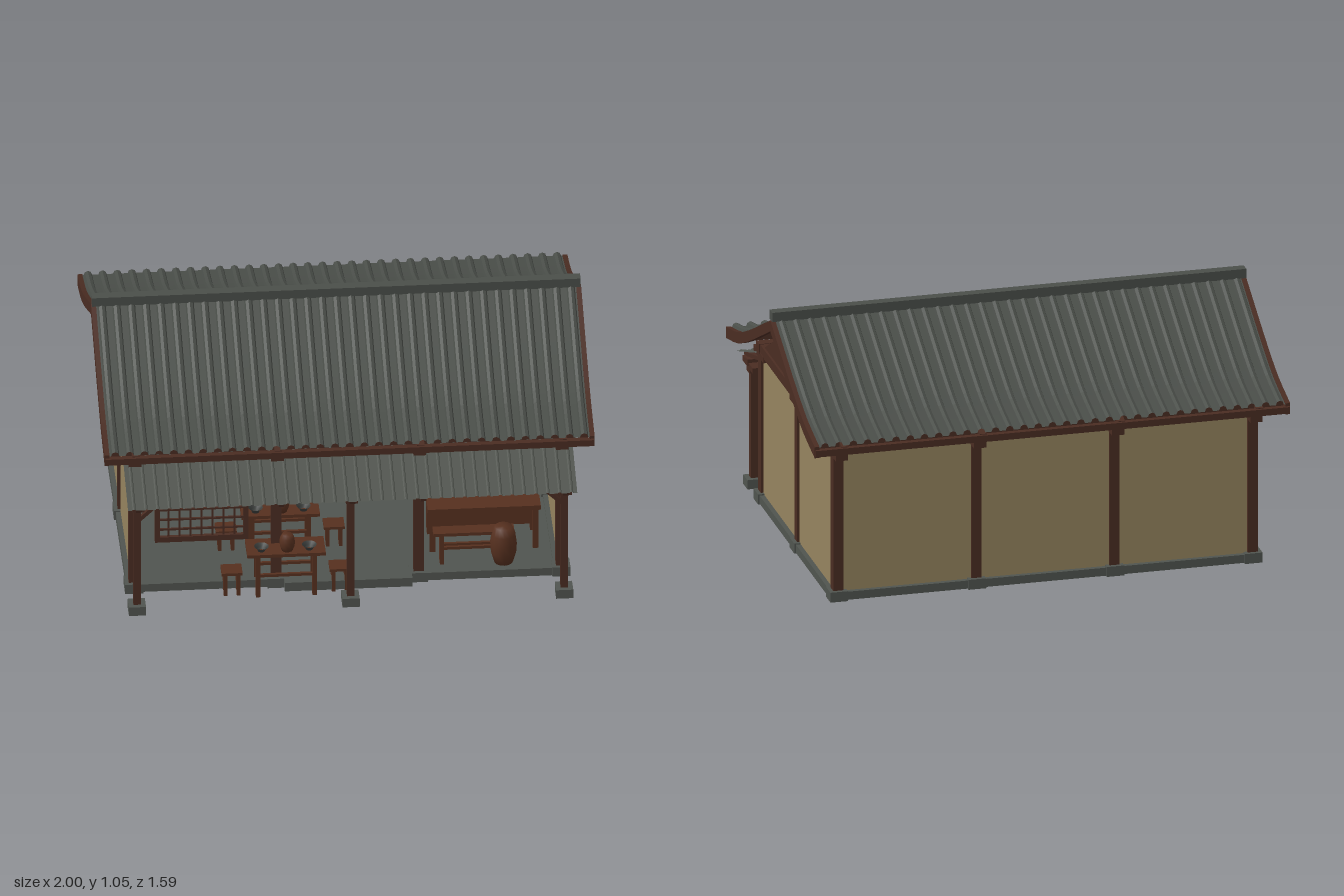
import * as THREE from 'three';

const mat = (name, color, side = THREE.FrontSide) => {
  const m = new THREE.MeshStandardMaterial({ color, side });
  m.name = name;
  return m;
};

export function createModel() {
  const wood = mat('dark timber', 0x4a2c22);
  const furniture = mat('furniture wood', 0x56301f);
  const plaster = mat('clay plaster', 0x95845f);
  const stone = mat('stone', 0x50544f);
  const tile = mat('roof tile', 0x4a4e49, THREE.DoubleSide);
  const canopyTile = mat('canopy tile', 0x50544e, THREE.DoubleSide);
  const ceramic = mat('ceramic', 0x3c3f3d, THREE.DoubleSide);

  const root = new THREE.Group();
  root.name = 'house';
  const group = (name, x = 0, y = 0, z = 0, parent = root) => {
    const g = new THREE.Group();
    g.name = name;
    g.position.set(x, y, z);
    parent.add(g);
    return g;
  };
  const add = (parent, name, geo, m, x = 0, y = 0, z = 0) => {
    const mesh = new THREE.Mesh(geo, m);
    mesh.name = name;
    mesh.position.set(x, y, z);
    parent.add(mesh);
    return mesh;
  };
  // Box given by its low and high limits
  const box = (parent, name, m, x0, x1, y0, y1, z0, z1) =>
    add(parent, name, new THREE.BoxGeometry(x1 - x0, y1 - y0, z1 - z0), m, (x0 + x1) / 2, (y0 + y1) / 2, (z0 + z1) / 2);
  // Square bar between two points
  const bar = (parent, name, m, a, b, w, h) => {
    const A = new THREE.Vector3(...a), B = new THREE.Vector3(...b);
    const mesh = add(parent, name, new THREE.BoxGeometry(w, h, A.distanceTo(B)), m);
    mesh.position.copy(A).add(B).multiplyScalar(0.5);
    mesh.lookAt(B);
    return mesh;
  };
  // Outline in (z, y), extruded along x and centred at x
  const sideways = (parent, name, m, points, width, x) => {
    const geo = new THREE.ExtrudeGeometry(new THREE.Shape(points.map(p => new THREE.Vector2(...p))), { depth: width, bevelEnabled: false });
    geo.translate(0, 0, -width / 2).rotateY(-Math.PI / 2);
    return add(parent, name, geo, m, x);
  };

  const RZ = -0.07, bays = [-0.87, -0.29, 0.29, 0.87], rows = [0.51, RZ, -0.65];

  // Stone footing and floor
  const base = group('foundation');
  box(base, 'floor', stone, -0.88, 0.88, 0.005, 0.03, -0.66, 0.52);
  for (const z of [0.51, -0.65]) box(base, 'footing', stone, -0.9, 0.9, 0.005, 0.04, z - 0.03, z + 0.03);
  for (const x of [-0.87, 0.87]) box(base, 'footing', stone, x - 0.03, x + 0.03, 0.005, 0.04, -0.68, 0.54);
  for (const x of bays) for (const z of rows)
    if (z !== RZ || Math.abs(x) > 0.5) box(base, 'columnBase', stone, x - 0.037, x + 0.037, 0.002, 0.045, z - 0.037, z + 0.037);
  box(base, 'doorStep', stone, -0.26, 0.26, 0.01, 0.05, 0.52, 0.59);

  // Timber frame
  const frame = group('timberFrame');
  for (const x of bays) for (const z of rows) {
    if (z === RZ && Math.abs(x) < 0.5) continue;
    box(frame, 'column', wood, x - 0.021, x + 0.021, 0.04, 0.66, z - 0.021, z + 0.021);
    box(frame, 'bracket', wood, x - 0.026, x + 0.026, 0.63, 0.655, z - 0.08, z + 0.08);
  }
  for (const z of [0.51, -0.65]) box(frame, 'longBeam', wood, -0.9, 0.9, 0.65, 0.692, z - 0.022, z + 0.022);
  for (const x of [-0.87, 0.87]) {
    box(frame, 'sideBeam', wood, x - 0.024, x + 0.024, 0.648, 0.69, -0.65, 0.51);
    sideways(frame, 'gable', wood, [[0.46, 0.685], [RZ, 0.98], [-0.6, 0.685]], 0.03, x);
  }

  // Plaster walls on the back and both sides
  const walls = group('walls');
  box(walls, 'backWall', plaster, -0.87, 0.87, 0.035, 0.65, -0.66, -0.64);
  for (const x of [-0.87, 0.87]) box(walls, 'sideWall', plaster, x - 0.01, x + 0.01, 0.035, 0.65, -0.65, 0.51);

  // Sagging roof slope: distance from the ridge against height
  const slope = new THREE.SplineCurve([[0, 1.005], [0.18, 0.915], [0.355, 0.83], [0.525, 0.76], [0.712, 0.715]].map(p => new THREE.Vector2(...p))).getPoints(12);
  // Ribbed sheet swept down a list of (z, y) stations
  const ribbed = (line, half, count, ribWidth, ribHeight) => {
    const section = [], pitch = 2 * half / count;
    for (let i = 0; i < count; i++) {
      const c = -half + (i + 0.5) * pitch;
      section.push([c - pitch / 2, 0]);
      for (let k = 0; k <= 4; k++) {
        const a = Math.PI * k / 4;
        section.push([c - Math.cos(a) * ribWidth / 2, Math.sin(a) * ribHeight]);
      }
    }
    section.push([half, 0]);
    const pos = [], index = [], n = section.length;
    for (const [z, y] of line) for (const [x, h] of section) pos.push(x, y + h, z);
    for (let r = 0; r < line.length - 1; r++) for (let i = 0; i < n - 1; i++) {
      const a = r * n + i, b = a + n;
      index.push(a, b, a + 1, b, b + 1, a + 1);
    }
    const indexed = new THREE.BufferGeometry();
    indexed.setAttribute('position', new THREE.Float32BufferAttribute(pos, 3));
    indexed.setIndex(index);
    const geo = indexed.toNonIndexed();
    geo.computeVertexNormals();
    return geo;
  };

  // Main roof
  const roof = group('roof');
  for (const s of [1, -1]) {
    const line = slope.map(p => [RZ + s * p.x, p.y]);
    // stations always run from back to front so that faces point up
    const tiles = line.map(([z, y]) => [z, y + 0.002]);
    add(roof, 'tiledSlope', ribbed(s > 0 ? tiles : tiles.reverse(), 0.985, 33, 0.034, 0.018), tile);
    const band = (top, low) => [...line.map(([z, y]) => [z, y + top]), ...line.map(([z, y]) => [z, y + low]).reverse()];
    for (const x of [-0.988, 0.988]) sideways(roof, 'bargeboard', wood, band(0.006, -0.042), 0.02, x);
    for (const x of bays) sideways(roof, 'rafter', wood, band(-0.004, -0.03), 0.03, x);
    const ez = RZ + s * 0.712;
    box(roof, 'eaveBoard', wood, -0.995, 0.995, 0.68, 0.708, ez - 0.012, ez + 0.012);
    for (const i of [3, 6, 9, 11]) {
      const [z, y] = line[i];
      box(roof, 'purlin', wood, -0.98, 0.98, y - 0.032, y - 0.006, z - 0.013, z + 0.013);
    }
  }
  box(roof, 'ridgeBeam', wood, -0.98, 0.98, 0.955, 0.99, RZ - 0.016, RZ + 0.016);
  box(roof, 'ridgeCap', tile, -0.995, 0.995, 1.01, 1.05, RZ - 0.021, RZ + 0.021);

  // Front canopy on three posts
  const canopy = group('canopy');
  add(canopy, 'canopySheet', ribbed([[0.52, 0.645], [0.8, 0.55]], 0.915, 38, 0.016, 0.005), canopyTile);
  box(canopy, 'canopyBeam', wood, -0.9, 0.9, 0.53, 0.558, 0.67, 0.7);
  for (const x of bays.concat(0)) bar(canopy, 'canopyRafter', wood, [x, 0.615, 0.51], [x, 0.54, 0.79], 0.024, 0.016);
  for (const x of [-0.87, 0, 0.87]) {
    box(canopy, 'postBase', stone, x - 0.035, x + 0.035, 0.002, 0.042, 0.65, 0.72);
    box(canopy, 'post', wood, x - 0.015, x + 0.015, 0.04, 0.54, 0.67, 0.7);
    box(canopy, 'postBracket', wood, x - 0.025, x + 0.025, 0.52, 0.543, 0.605, 0.765);
    box(canopy, 'postCap', wood, x - 0.024, x + 0.024, 0.5, 0.525, 0.662, 0.708);
    if (x) bar(canopy, 'brace', wood, [x, 0.43, 0.685], [x - Math.sign(x) * 0.11, 0.535, 0.685], 0.016, 0.016);
  }

  // Hanging lattice window
  const lattice = group('latticeWindow', -0.595, 0.385, 0.533);
  for (const s of [-1, 1]) {
    box(lattice, 'windowRail', wood, -0.19, 0.19, s * 0.137 - 0.012, s * 0.137 + 0.012, -0.008, 0.008);
    box(lattice, 'windowStile', wood, s * 0.18 - 0.01, s * 0.18 + 0.01, -0.14, 0.14, -0.008, 0.008);
  }
  for (let i = 1; i < 8; i++) box(lattice, 'uprightSlat', wood, -0.18 + i * 0.045 - 0.004, -0.18 + i * 0.045 + 0.004, -0.135, 0.135, -0.004, 0.004);
  for (let i = 1; i < 6; i++) box(lattice, 'crossSlat', wood, -0.18, 0.18, -0.137 + i * 0.046 - 0.004, -0.137 + i * 0.046 + 0.004, -0.003, 0.005);

  // Legged furniture, standing on its group origin
  const legged = (name, x, y, z, w, h, d, top, leg, inset, stretcher) => {
    const g = group(name, x, y, z);
    box(g, 'top', furniture, -w / 2, w / 2, h - top, h, -d / 2, d / 2);
    const lx = w / 2 - inset, lz = d / 2 - leg;
    for (const sx of [-1, 1]) for (const sz of [-1, 1])
      box(g, 'leg', furniture, sx * lx - leg / 2, sx * lx + leg / 2, 0, h - top, sz * lz - leg / 2, sz * lz + leg / 2);
    if (stretcher) for (const s of [-1, 1])
      box(g, 'stretcher', furniture, -lx, lx, h * 0.45, h * 0.45 + 0.012, s * lz - 0.006, s * lz + 0.006);
    return g;
  };
  const lathe = (parent, name, m, pts, x, y, z) =>
    add(parent, name, new THREE.LatheGeometry(pts.map(p => new THREE.Vector2(...p)), 14), m, x, y, z);
  const barrel = (parent, name, r, h, x, y, z) =>
    lathe(parent, name, furniture, [[0, 0], [r * 0.7, 0], [r * 0.95, h * 0.3], [r, h * 0.55], [r * 0.9, h * 0.8], [r * 0.65, h], [0, h]], x, y, z);

  // Two dining sets, one outside and one inside
  for (const [y, z] of [[0, 0.555], [0.03, 0.25]]) {
    const h = 0.205 - y;
    const table = legged('diningTable', -0.255, y, z, 0.32, h, 0.13, 0.014, 0.018, 0.045, true);
    barrel(table, 'wineJar', 0.032, 0.075, 0.005, h, 0.03);
    for (const x of [-0.1, 0.095]) lathe(table, 'bowl', ceramic, [[0, 0], [0.014, 0], [0.018, 0.01], [0.03, 0.022]], x, h, 0.03);
    for (const x of [-0.475, -0.035]) legged('stool', x, y, z + 0.005, 0.085, 0.11 - y / 2, 0.075, 0.012, 0.014, 0.016, false);
  }

  // Kitchen corner with counter, bench, barrel and shelf slats
  const counter = group('counter', 0.57, 0.03, 0.28);
  box(counter, 'counterTop', furniture, -0.23, 0.23, 0.185, 0.205, -0.09, 0.09);
  box(counter, 'counterPanel', furniture, -0.225, 0.225, 0.03, 0.185, -0.08, -0.06);
  for (const x of [-0.21, 0.21]) for (const z of [-0.07, 0.07]) box(counter, 'counterLeg', furniture, x - 0.012, x + 0.012, 0, 0.185, z - 0.012, z + 0.012);
  legged('bench', 0.52, 0.03, 0.44, 0.33, 0.15, 0.06, 0.014, 0.016, 0.035, true);
  barrel(root, 'barrel', 0.055, 0.165, 0.64, 0.04, 0.47);
  const rack = group('shelfSlats', 0.58, 0, -0.625);
  for (let i = 0; i < 5; i++) box(rack, 'slat', furniture, -0.13, 0.13, 0.245 + i * 0.026, 0.26 + i * 0.026, -0.02, 0.02);

  return root;
}
